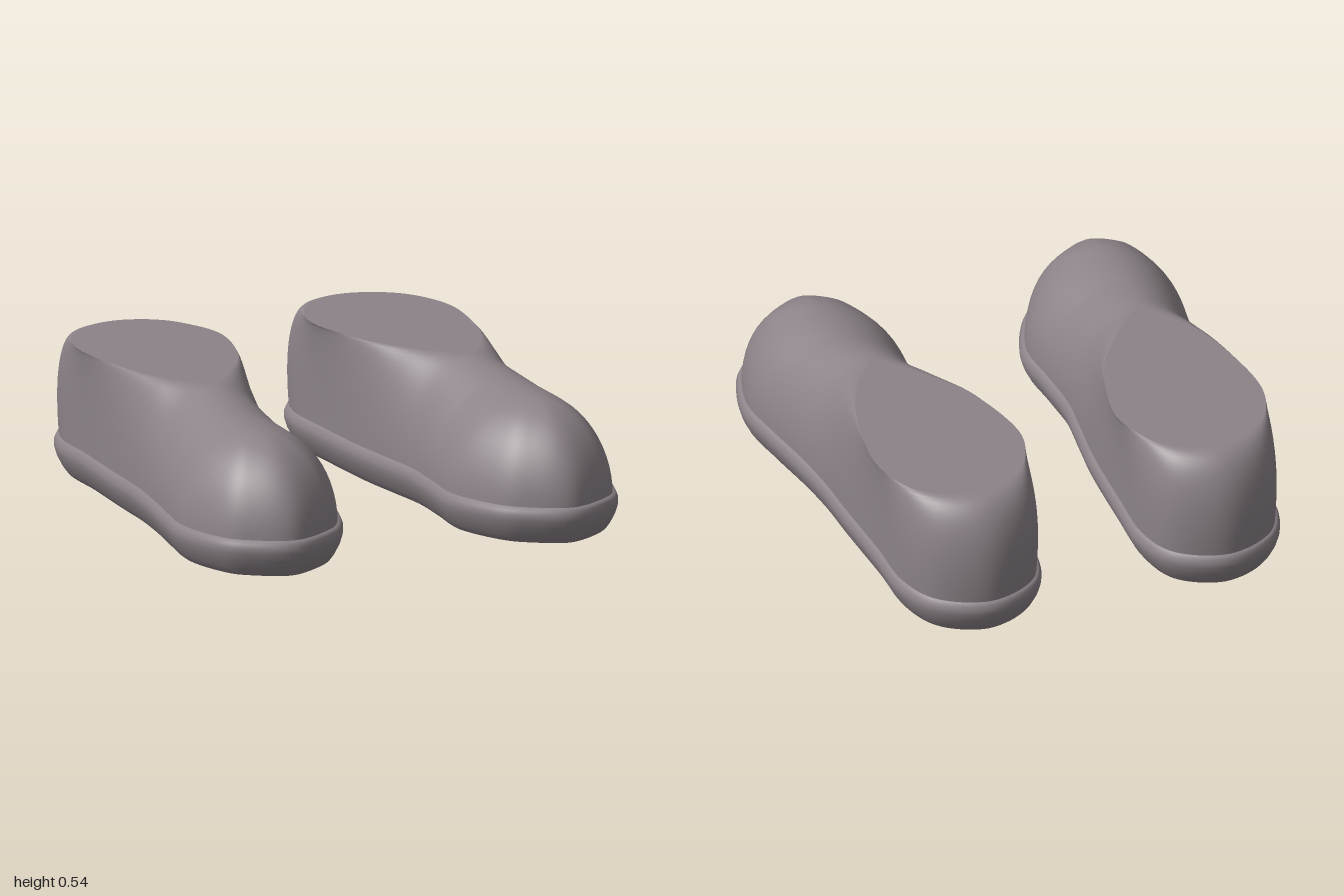
import * as THREE from 'three';
import { mergeVertices } from 'three/addons/utils/BufferGeometryUtils.js';

const TOP = 0.54; // height of the flat ankle opening
const STEPS = 8;  // samples between outline points

// Outline counter-clockwise from the toe: base x, base z, then the rim or ridge point x, y, z above it
const OUTLINE = [
  [0.57, 0.975, 0.57, 0.49, 0.62],
  [0.73, 0.90, 0.57, 0.49, 0.62],
  [0.81, 0.80, 0.57, 0.49, 0.62],
  [0.86, 0.60, 0.57, 0.49, 0.60],
  [0.835, 0.40, 0.565, 0.502, 0.40],
  [0.80, 0.20, 0.53, TOP, 0.19],
  [0.775, 0.00, 0.645, TOP, 0.00],
  [0.765, -0.20, 0.72, TOP, -0.20],
  [0.745, -0.50, 0.765, TOP, -0.50],
  [0.735, -0.73, 0.715, TOP, -0.70],
  [0.655, -0.90, 0.61, TOP, -0.805],
  [0.47, -0.98, 0.47, TOP, -0.845],
  [0.285, -0.90, 0.335, TOP, -0.805],
  [0.215, -0.73, 0.24, TOP, -0.70],
  [0.215, -0.50, 0.187, TOP, -0.50],
  [0.225, -0.20, 0.26, TOP, -0.20],
  [0.245, 0.00, 0.385, TOP, 0.00],
  [0.265, 0.20, 0.53, TOP, 0.19],
  [0.255, 0.40, 0.565, 0.502, 0.40],
  [0.245, 0.60, 0.57, 0.49, 0.60],
  [0.32, 0.80, 0.57, 0.49, 0.62],
  [0.41, 0.90, 0.57, 0.49, 0.62],
];

// Sample the outline: base point, outward normal and rim point at each step
function sampleOutline() {
  const n = OUTLINE.length;
  const base = OUTLINE.map(p => new THREE.Vector3(p[0], 0, p[1]));
  const rim = OUTLINE.map(p => new THREE.Vector3(p[2], p[3], p[4]));
  const baseCurve = new THREE.CatmullRomCurve3(base, true, 'catmullrom', 0.5);
  const rimCurve = new THREE.CatmullRomCurve3(rim, true, 'catmullrom', 0.5);
  const samples = [];
  for (let k = 0; k < n * STEPS; k++) {
    const t = k / (n * STEPS);
    const i = Math.floor(k / STEPS), j = (i + 1) % n;
    const tan = baseCurve.getTangent(t);
    // The ridge over the instep is straight; the opening is a smooth curve
    const onRidge = rim[i].z > 0.18 && rim[j].z > 0.18;
    const top = onRidge ? rim[i].clone().lerp(rim[j], (k % STEPS) / STEPS) : rimCurve.getPoint(t);
    top.y = Math.min(top.y, TOP);
    samples.push({
      base: baseCurve.getPoint(t),
      normal: new THREE.Vector3(-tan.z, 0, tan.x).normalize(),
      top,
    });
  }
  return samples;
}

function geometryFrom(points, index, side) {
  const geo = new THREE.BufferGeometry();
  geo.setAttribute('position', new THREE.Float32BufferAttribute(points.flatMap(p => [p.x * side, p.y, p.z]), 3));
  if (side < 0) index.reverse();
  geo.setIndex(index);
  const merged = mergeVertices(geo, 1e-4);
  merged.computeVertexNormals();
  return merged;
}

// Skin between closed rings stacked upwards
function loft(rings, side) {
  const n = rings[0].length, index = [];
  for (let r = 0; r < rings.length - 1; r++) {
    for (let i = 0; i < n; i++) {
      const j = (i + 1) % n;
      const a = r * n + i, b = r * n + j, c = b + n, d = a + n;
      index.push(a, b, c, a, c, d);
    }
  }
  return geometryFrom(rings.flat(), index, side);
}

// Flat fan closing a ring, facing up or down
function cap(ring, center, up, side) {
  const index = [], n = ring.length;
  for (let i = 0; i < n; i++) {
    const a = i + 1, b = ((i + 1) % n) + 1;
    index.push(0, up ? a : b, up ? b : a);
  }
  return geometryFrom([center, ...ring], index, side);
}

function makeShoe(side, samples, material) {
  const shoe = new THREE.Group();
  const add = (geo, name) => {
    const mesh = new THREE.Mesh(geo, material);
    mesh.name = name;
    shoe.add(mesh);
  };

  // Upper: each wall curves as a quarter ellipse from the sole to the rim
  const upperRings = [];
  for (let r = 0; r <= 16; r++) {
    const a = (r / 16) * Math.PI / 2;
    upperRings.push(samples.map(({ base, normal, top }) => {
      const bulge = 0.022 * Math.sin(2 * a) * THREE.MathUtils.smoothstep(-base.z, 0.55, 0.95);
      const p = top.clone().lerp(base, Math.cos(a)).addScaledVector(normal, bulge);
      p.y = 0.125 + (top.y - 0.125) * Math.sin(a);
      return p;
    }));
  }
  add(loft(upperRings, side), 'upper');

  // Flat ankle opening
  const opening = samples.map(s => s.top).filter(p => p.z <= 0.191 && p.y > TOP - 0.001);
  add(cap(opening, new THREE.Vector3(0.48, TOP, -0.4), true, side), 'ankleOpening');

  // Sole with rounded edge and a small lip: offset from the outline, height
  const soleProfile = [[-0.035, 0], [-0.024, 0.008], [-0.008, 0.03], [0.01, 0.065],
    [0.019, 0.095], [0.02, 0.115], [0.014, 0.13], [0.008, 0.142], [-0.012, 0.146]];
  const soleRings = soleProfile.map(([offset, y]) => samples.map(({ base, normal }) => {
    const p = base.clone().addScaledVector(normal, offset);
    p.y = y;
    return p;
  }));
  add(loft(soleRings, side), 'sole');
  add(cap(soleRings[0], new THREE.Vector3(0.52, 0, 0), false, side), 'soleBottom');
  return shoe;
}

export function createModel() {
  const fabric = new THREE.MeshStandardMaterial({ color: 0x8c8388 });
  fabric.name = 'warm grey';
  const model = new THREE.Group();
  model.name = 'pairOfShoes';
  const samples = sampleOutline();
  for (const side of [1, -1]) {
    const shoe = makeShoe(side, samples, fabric);
    shoe.name = side > 0 ? 'leftShoe' : 'rightShoe';
    model.add(shoe);
  }
  return model;
}
